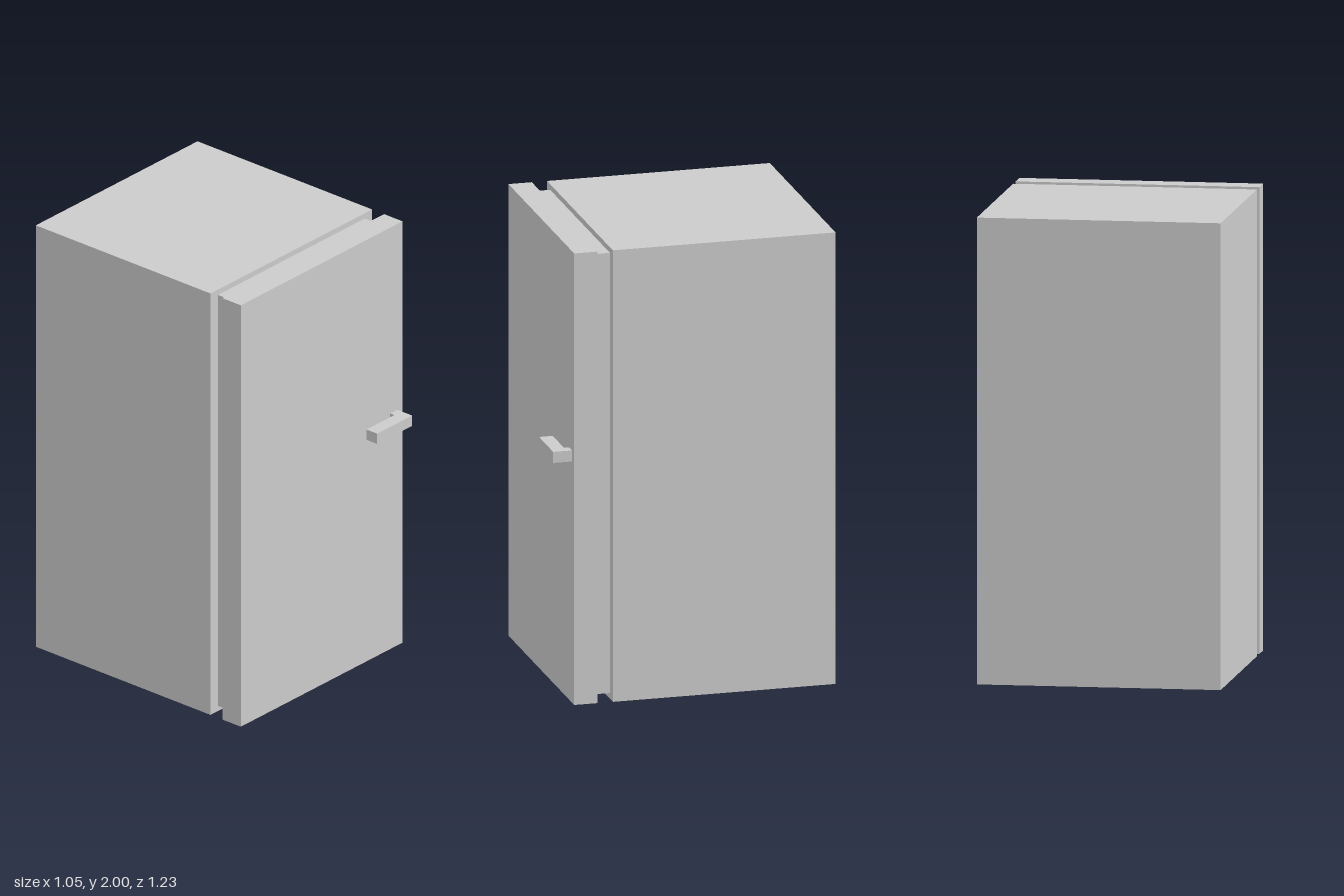
import * as THREE from 'three';

const material = new THREE.MeshStandardMaterial({ color: 0xcccccc, flatShading: true });

// Box given by its extents along each axis
function block(name, [x0, x1], [y0, y1], [z0, z1]) {
  const mesh = new THREE.Mesh(new THREE.BoxGeometry(x1 - x0, y1 - y0, z1 - z0), material);
  mesh.position.set((x0 + x1) / 2, (y0 + y1) / 2, (z0 + z1) / 2);
  mesh.name = name;
  return mesh;
}

export function createModel() {
  const model = new THREE.Group();
  model.name = 'refrigerator';

  // Cabinet, recessed door seal and door
  model.add(block('cabinet', [-0.523, 0.523], [0, 2], [-0.616, 0.363]));
  model.add(block('doorSeal', [-0.475, 0.475], [0.025, 1.975], [0.363, 0.43]));
  model.add(block('door', [-0.523, 0.523], [0, 2], [0.43, 0.533]));

  // L-shaped handle: a post on the door carrying a horizontal grip
  const handle = new THREE.Group();
  handle.name = 'handle';
  handle.add(block('handlePost', [0.444, 0.49], [1.069, 1.118], [0.533, 0.585]));
  handle.add(block('handleGrip', [0.264, 0.49], [1.069, 1.118], [0.556, 0.616]));
  model.add(handle);

  return model;
}
